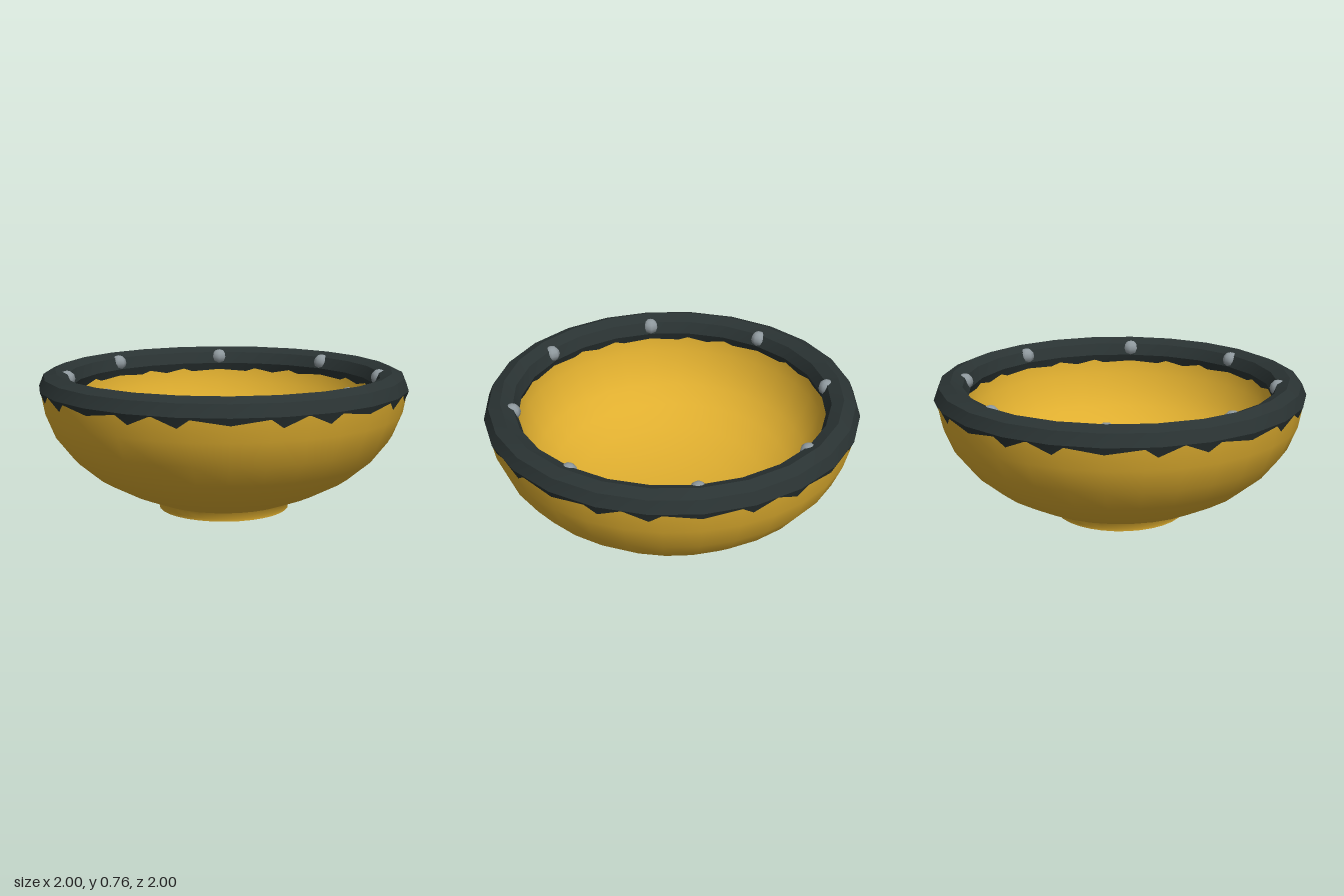
import * as THREE from 'three';
import { toCreasedNormals } from 'three/addons/utils/BufferGeometryUtils.js';

function makeMaterial(name, color) {
  const material = new THREE.MeshStandardMaterial({ color });
  material.name = name;
  return material;
}
const gold = makeMaterial('gold', 0xdfae2f);
const charcoal = makeMaterial('charcoal', 0x2a3333);
const steel = makeMaterial('steel', 0x8f999e);

function addMesh(parent, name, geometry, material) {
  const mesh = new THREE.Mesh(geometry, material);
  mesh.name = name;
  parent.add(mesh);
  return mesh;
}

export function createModel() {
  const model = new THREE.Group();
  model.name = 'bowl';

  // Bowl wall: up the outside from the foot, over the hidden lip, down the inside
  const profile = [
    [0, 0], [0.355, 0], [0.357, 0.015], [0.38, 0.052],
    [0.54, 0.115], [0.70, 0.2], [0.825, 0.305], [0.915, 0.42], [0.968, 0.55], [0.99, 0.67],
    [0.91, 0.7], [0.84, 0.68],
    [0.835, 0.62], [0.82, 0.56], [0.785, 0.465], [0.73, 0.38], [0.64, 0.295], [0.5, 0.222],
    [0.32, 0.172], [0.16, 0.152], [0, 0.147],
  ].map(([r, y]) => new THREE.Vector2(r, y));
  addMesh(model, 'bowlBody', toCreasedNormals(new THREE.LatheGeometry(profile, 32), 0.6), gold);

  // Thick eight-sided rim
  const rim = new THREE.TorusGeometry(0.91, 0.09, 8, 24).rotateX(Math.PI / 2);
  addMesh(model, 'rim', toCreasedNormals(rim, 0.5), charcoal).position.y = 0.675;

  // Eight round studs sunk into the inner edge of the rim
  const studs = new THREE.Group();
  studs.name = 'studs';
  const studGeometry = new THREE.SphereGeometry(0.045, 8, 6);
  for (let i = 0; i < 8; i++) {
    const a = (i / 8) * Math.PI * 2;
    const stud = addMesh(studs, 'stud', studGeometry, steel);
    stud.position.set(Math.sin(a) * 0.848, 0.71, Math.cos(a) * 0.848);
    stud.rotation.y = a;
  }
  model.add(studs);

  return model;
}
